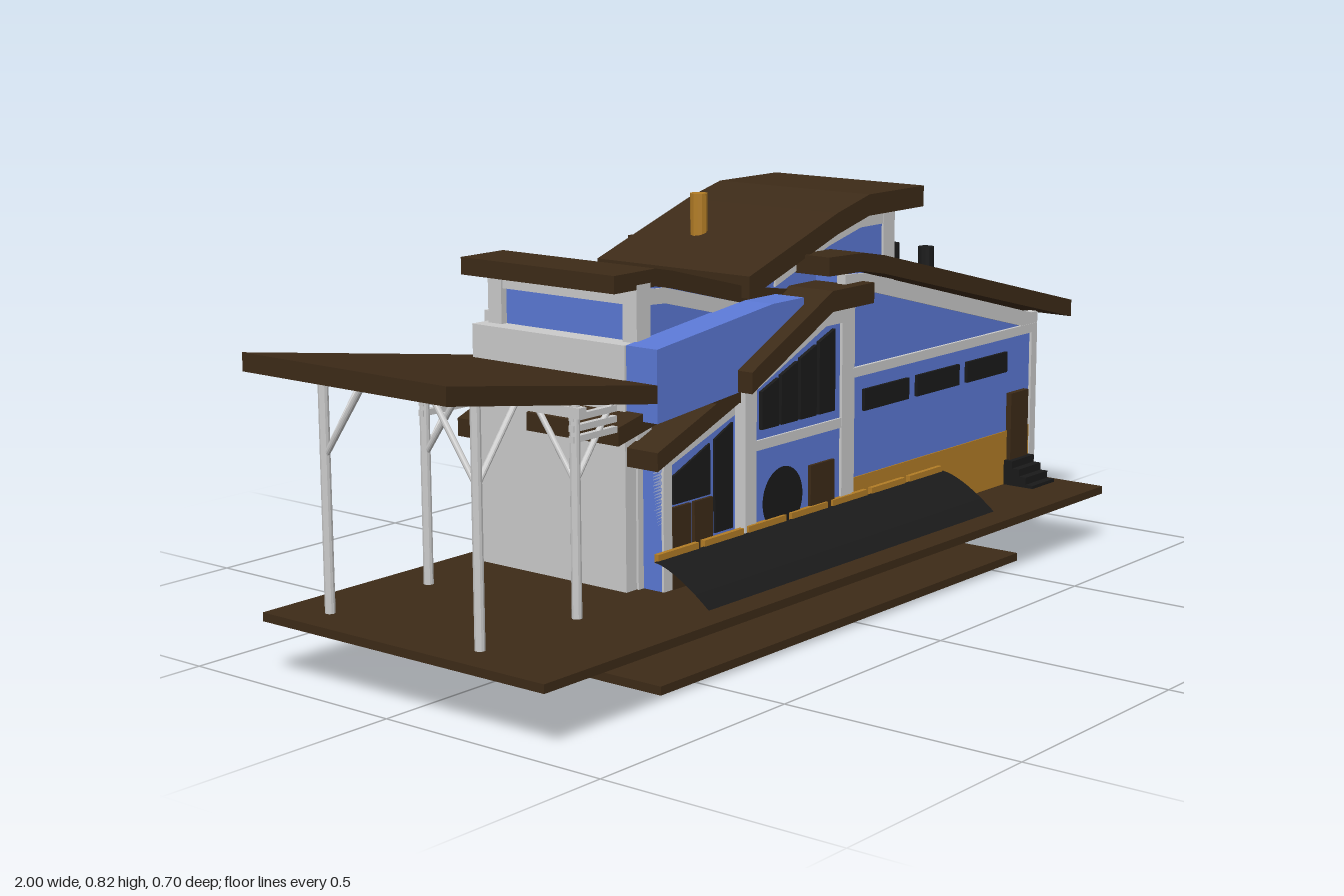
import * as THREE from 'three';

const mat = (color) => new THREE.MeshStandardMaterial({ color, flatShading: true, side: THREE.DoubleSide });

export function createModel() {
  const model = new THREE.Group();
  const brown = mat(0x3d2b18), blue = mat(0x5b79d6), orange = mat(0xb37d26);
  const black = mat(0x1a1a1a), grey = mat(0xcccccc);

  const add = (name, geo, m) => {
    const mesh = new THREE.Mesh(geo, m);
    mesh.name = name;
    model.add(mesh);
    return mesh;
  };
  // Box given by its extents
  const box = (name, m, x0, x1, y0, y1, z0, z1) =>
    add(name, new THREE.BoxGeometry(x1 - x0, y1 - y0, z1 - z0), m)
      .position.set((x0 + x1) / 2, (y0 + y1) / 2, (z0 + z1) / 2);
  // Front outline (x, y) extruded between two depths
  const prism = (name, m, pts, z0, z1) => {
    const shape = new THREE.Shape(pts.map(([x, y]) => new THREE.Vector2(x, y)));
    const geo = new THREE.ExtrudeGeometry(shape, { depth: z1 - z0, bevelEnabled: false });
    add(name, geo, m).position.z = z0;
  };
  // Band of constant height hanging below a top line
  const band = (name, m, top, t, z0, z1) =>
    prism(name, m, [...top, ...top.map(([x, y]) => [x, y - t]).reverse()], z0, z1);
  const rod = (name, m, a, b, r) => {
    const p = new THREE.Vector3(...a), q = new THREE.Vector3(...b);
    const mesh = add(name, new THREE.CylinderGeometry(r, r, p.distanceTo(q), 12), m);
    mesh.position.copy(p).lerp(q, 0.5);
    mesh.quaternion.setFromUnitVectors(new THREE.Vector3(0, 1, 0), q.sub(p).normalize());
  };

  // Stacked floor slabs
  box('baseSlab', brown, -0.6, 0.6, 0, 0.017, -0.285, 0.295);
  box('middleSlab', brown, -0.66, 0.54, 0.09, 0.108, -0.285, 0.295);
  box('mainSlab', brown, -0.97, 0.86, 0.108, 0.125, -0.35, 0.35);

  // Tall central block, running from the basement to the upper roofs
  prism('centralBlock', blue, [[-0.41, 0.017], [0.4, 0.017], [0.4, 0.77], [0.28, 0.765], [-0.07, 0.65],
    [-0.35, 0.71], [-0.41, 0.71]], -0.28, 0.09);
  for (const [x0, x1, top] of [[-0.425, -0.385, 0.71], [0.37, 0.41, 0.77]]) {
    for (const [z0, z1] of [[-0.285, -0.25], [0.06, 0.095]]) box('cornerPost', grey, x0, x1, 0.017, top, z0, z1);
  }
  box('basementPost', grey, -0.025, 0.01, 0.017, 0.09, 0.06, 0.098);
  for (const y of [0.06, 0.66]) {
    for (const [z0, z1] of [[-0.1, 0], [-0.205, -0.11]]) box('sideWindow', orange, 0.39, 0.405, y, y + 0.03, z0, z1);
  }
  box('sideBand', orange, 0.39, 0.405, 0.74, 0.77, -0.25, 0.06);
  box('basementDoor', brown, 0.25, 0.34, 0.02, 0.09, 0.08, 0.1);
  box('basementStep', black, 0.24, 0.35, 0.017, 0.025, 0.09, 0.118);
  add('basementArch', new THREE.CircleGeometry(0.06, 24, Math.PI, Math.PI), black).position.set(0.155, 0.108, 0.097);
  prism('backPanel', grey, [[-0.41, 0.39], [-0.41, 0.62], [0.07, 0.62], [0.13, 0.6]], -0.31, -0.28);
  box('leftPanel', grey, -0.455, -0.41, 0.125, 0.6, -0.3, 0.09);

  // Upper front balcony
  prism('balcony', blue, [[-0.45, 0.46], [0, 0.5], [0, 0.64], [-0.1, 0.64], [-0.45, 0.6]], 0.09, 0.165);

  // Right wing
  prism('rightWing', blue, [[0.14, 0.125], [0.855, 0.125], [0.855, 0.49], [0.2, 0.665], [0.14, 0.67]], -0.33, 0.165);
  box('wingSkirt', orange, 0.15, 0.858, 0.125, 0.245, -0.333, 0.168);
  for (const z of [-0.336, 0.15]) {
    box('wingPost', grey, 0.84, 0.862, 0.125, 0.5, z, z + 0.021);
    box('ridgePost', grey, 0.13, 0.165, 0.125, 0.66, z, z + 0.021);
  }
  box('wallRail', grey, 0.15, 0.86, 0.455, 0.475, 0.15, 0.172);
  band('gableTrim', grey, [[0.13, 0.67], [0.2, 0.665], [0.855, 0.495]], 0.035, 0.15, 0.171);
  for (const x of [0.2, 0.39, 0.58]) box('slotWindow', black, x, x + 0.16, 0.38, 0.425, 0.15, 0.172);
  for (const [z0, z1] of [[-0.055, 0.12], [-0.277, -0.105]]) {
    box('endWindow', black, 0.85, 0.862, 0.19, 0.36, z0, z1);
    box('endVent', black, 0.85, 0.867, 0.15, 0.18, z0 + 0.018, z1 - 0.015);
  }
  box('frontDoor', brown, 0.75, 0.82, 0.18, 0.33, 0.15, 0.178);
  for (let i = 0; i < 4; i++) {
    box('doorStep', black, 0.74, 0.83, 0.125, 0.18 - i * 0.016, 0.165, 0.19 + i * 0.018);
  }

  // Left wing below the long sloping roof
  prism('leftWing', blue, [[-0.41, 0.125], [0.15, 0.125], [0.15, 0.59], [-0.41, 0.385]], -0.33, 0.14);
  box('leftSkirt', orange, -0.412, 0.15, 0.125, 0.245, -0.333, -0.32);
  box('leftBackPost', grey, -0.42, -0.395, 0.125, 0.385, -0.336, -0.312);
  box('leftFrontPost', grey, -0.41, -0.385, 0.125, 0.385, 0.12, 0.145);
  band('leftTrim', grey, [[-0.41, 0.39], [-0.19, 0.465]], 0.03, 0.12, 0.146);
  prism('leftWindow', black, [[-0.38, 0.29], [-0.27, 0.29], [-0.27, 0.39], [-0.38, 0.345]], 0.13, 0.145);
  prism('leftWindow', black, [[-0.255, 0.21], [-0.2, 0.21], [-0.2, 0.42], [-0.255, 0.395]], 0.13, 0.145);
  for (const x of [-0.385, -0.32]) box('leftDoor', brown, x, x + 0.055, 0.125, 0.285, 0.13, 0.147);

  // Front entrance bay
  prism('entranceBay', blue, [[-0.19, 0.125], [0.15, 0.125], [0.15, 0.605], [0.06, 0.605], [-0.19, 0.5]], 0, 0.17);
  box('bayPost', grey, -0.2, -0.165, 0.125, 0.49, 0.15, 0.176);
  box('bayPost', grey, 0.115, 0.15, 0.125, 0.605, 0.15, 0.176);
  box('bayRail', grey, -0.19, 0.14, 0.36, 0.38, 0.15, 0.175);
  band('bayTrim', grey, [[-0.19, 0.5], [0.06, 0.605], [0.15, 0.605]], 0.03, 0.15, 0.176);
  for (let i = 0; i < 4; i++) {
    const x = -0.15 + i * 0.062, top = 0.475 + i * 0.024;
    prism('bayWindow', black, [[x, 0.4], [x + 0.053, 0.4], [x + 0.053, top + 0.02], [x, top]], 0.16, 0.178);
  }
  add('roundWindow', new THREE.CircleGeometry(0.065, 32), black).position.set(-0.08, 0.25, 0.175);
  box('bayDoor', brown, 0.01, 0.09, 0.125, 0.3, 0.16, 0.177);

  // Curved dark screen along the porch
  const screen = add('porchScreen', new THREE.PlaneGeometry(0.96, 1, 1, 8), black);
  const pos = screen.geometry.attributes.position;
  for (let i = 0; i < pos.count; i++) {
    const t = pos.getY(i) + 0.5;
    pos.setXYZ(i, pos.getX(i), 0.205 - 0.07 * Math.pow(1 - t, 1.5), 0.31 - 0.13 * t);
  }
  screen.geometry.computeVertexNormals();
  for (let i = 0; i < 7; i++) {
    box('screenCap', orange, -0.47 + i * 0.137, -0.35 + i * 0.137, 0.2, 0.217, 0.172, 0.182);
  }

  // Roofs
  band('rightRoof', brown, [[0.07, 0.712], [0.19, 0.708], [0.26, 0.695], [1, 0.508]], 0.038, -0.35, 0.175);
  band('leftRoof', brown, [[-0.45, 0.405], [0.15, 0.63]], 0.036, -0.35, 0.165);
  band('bayRoof', brown, [[-0.21, 0.525], [0.05, 0.65], [0.19, 0.65]], 0.042, 0, 0.2);
  band('lowRoof', brown, [[-0.52, 0.46], [-0.2, 0.53]], 0.035, -0.1, 0.13);
  band('upperLeftRoof', brown, [[-0.488, 0.735], [-0.37, 0.735], [-0.32, 0.725], [-0.1, 0.668], [0.07, 0.64]],
    0.034, -0.295, 0.095);
  band('upperLeftTrim', grey, [[-0.42, 0.7], [-0.34, 0.695], [-0.1, 0.634]], 0.03, -0.284, 0.094);
  band('upperRightRoof', brown, [[-0.11, 0.69], [0.18, 0.785], [0.29, 0.812], [0.487, 0.812]], 0.044, -0.278, 0.115);
  band('upperRightTrim', grey, [[0, 0.68], [0.18, 0.742], [0.29, 0.768], [0.405, 0.768]], 0.026, -0.284, 0.094);
  band('carportRoof', brown, [[-1, 0.617], [-0.2, 0.495]], 0.035, -0.345, 0.165);

  // Carport posts, braces and rack
  for (const z of [-0.25, 0.13]) {
    for (const [x, top] of [[-0.895, 0.57], [-0.64, 0.53]]) {
      rod('carportPost', grey, [x, 0.125, z], [x, top, z], 0.01);
      rod('postBrace', grey, [x, top - 0.15, z], [x + 0.1, top - 0.02, z], 0.006);
      rod('postBrace', grey, [x, top - 0.15, z], [x, top - 0.01, z - Math.sign(z) * 0.1], 0.006);
    }
  }
  for (const y of [0.46, 0.48, 0.5]) {
    for (const z of [-0.25, 0.13]) box('rackRail', grey, -0.65, -0.53, y - 0.006, y + 0.006, z - 0.006, z + 0.006);
  }
  box('rackBeam', grey, -0.65, -0.63, 0.5, 0.52, -0.3, 0.15);

  // Chimney and roof vents
  rod('chimney', orange, [0.042, 0.68, -0.135], [0.042, 0.82, -0.135], 0.018);
  for (const z of [-0.055, -0.149]) rod('roofVent', black, [0.75, 0.55, z], [0.75, 0.638, z], 0.018);

  return model;
}
